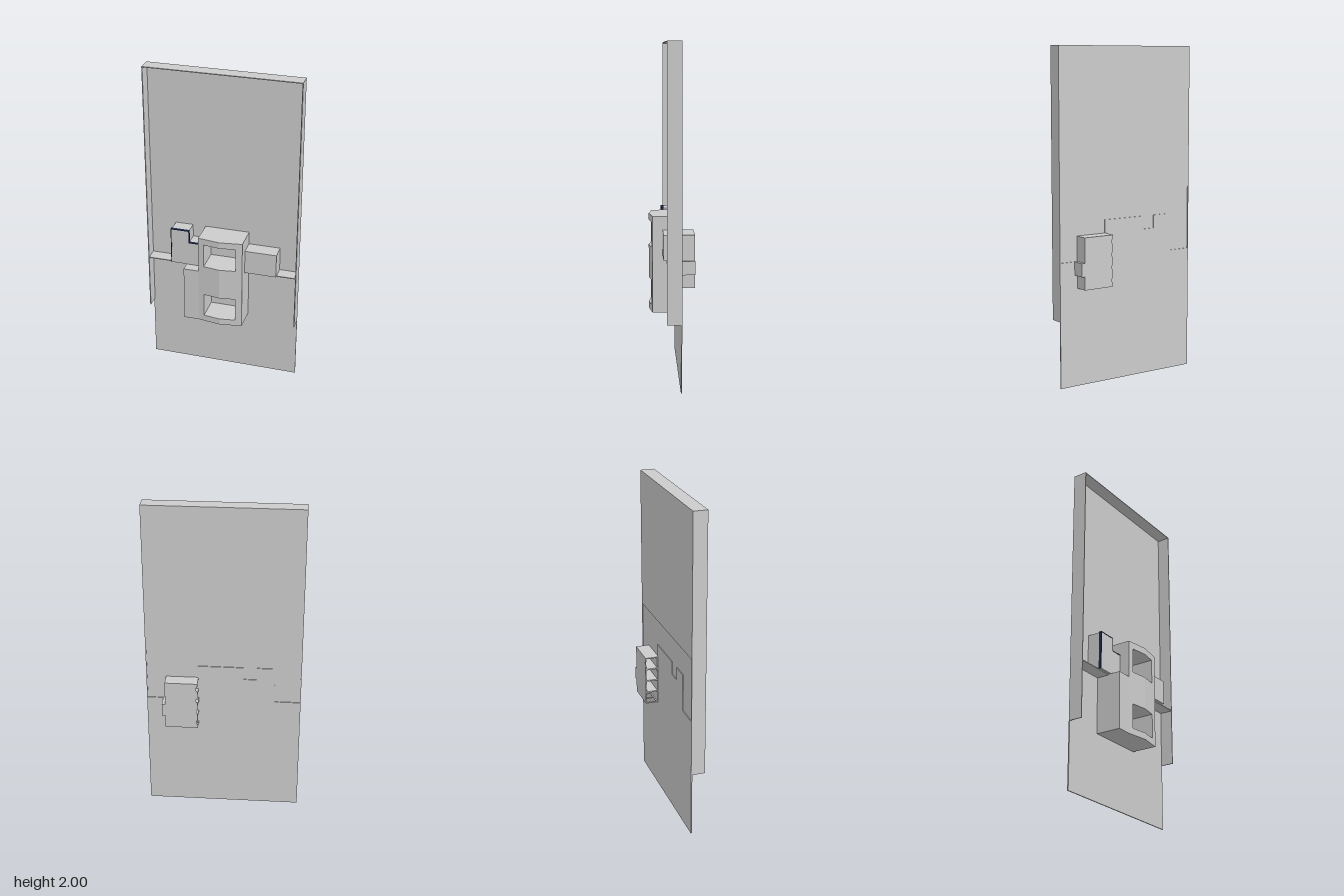
import * as THREE from 'three';

const grey = new THREE.MeshStandardMaterial({ color: 0xcccccc, flatShading: true, side: THREE.DoubleSide });
const navy = new THREE.MeshStandardMaterial({ color: 0x1c2a4a, flatShading: true, side: THREE.DoubleSide });

const polygon = (pts) => new THREE.Shape(pts.map(([x, y]) => new THREE.Vector2(x, y)));
const rectHole = (x0, x1, y0, y1) =>
  new THREE.Path([[x0, y0], [x0, y1], [x1, y1], [x1, y0]].map(([x, y]) => new THREE.Vector2(x, y)));

export function createModel() {
  const model = new THREE.Group();

  const add = (name, geometry, parent = model, material = grey) => {
    const mesh = new THREE.Mesh(geometry, material);
    mesh.name = name;
    parent.add(mesh);
    return mesh;
  };
  // Box given by its limits on each axis
  const box = (name, x0, x1, y0, y1, z0, z1, parent, material) =>
    add(name, new THREE.BoxGeometry(x1 - x0, y1 - y0, z1 - z0)
      .translate((x0 + x1) / 2, (y0 + y1) / 2, (z0 + z1) / 2), parent, material);
  // Upright sheet in the xy plane from z0 to z1
  const sheet = (name, shape, z0, z1, parent, material) =>
    add(name, new THREE.ExtrudeGeometry(shape, { depth: z1 - z0, bevelEnabled: false, curveSegments: 12 })
      .translate(0, 0, z0), parent, material);
  // Plan outline (x, z) raised from y0 to y1
  const raised = (name, plan, y0, y1, parent) =>
    add(name, new THREE.ExtrudeGeometry(polygon(plan.map(([x, z]) => [x, -z])), { depth: y1 - y0, bevelEnabled: false })
      .rotateX(-Math.PI / 2).translate(0, y0, 0), parent);

  const W = 0.47, BACK = -0.053, FRONT = 0.033;

  // Shallow tray: upper back panel, inset lower sheet, sides, top and shelf
  box('upperBackPanel', -W, W, 1.14, 2, BACK, -0.046);
  const wireHole = new THREE.Path();
  wireHole.absellipse(0.3, 0.72, 0.011, 0.015, 0, Math.PI * 2, true);
  const inset = polygon([[-W, 0], [W, 0], [W, 1.14], [-W, 1.14]]);
  inset.holes.push(wireHole);
  sheet('insetPanel', inset, -0.048, -0.046);
  for (const s of [-1, 1]) {
    const outer = s * W, inner = s * (W - 0.005);
    box('sideWall', Math.min(outer, inner), Math.max(outer, inner), 0.4, 2, BACK, FRONT);
  }
  box('topWall', -W, W, 1.995, 2, BACK, FRONT);
  box('shelf', -W, W, 0.745, 0.75, -0.048, FRONT);

  // Rear sheet cut to the stepped outline of the building
  const outline = polygon([
    [-W, 0], [W, 0], [W, 0.75], [0.35, 0.75], [0.35, 0.9], [0.155, 0.9], [0.155, 0.98],
    [-0.12, 0.98], [-0.12, 0.9], [-0.2, 0.9], [-0.2, 0.98], [-0.31, 0.98], [-0.31, 0.75], [-W, 0.75],
  ]);
  outline.holes.push(wireHole);
  sheet('steppedBackPanel', outline, BACK, -0.048);

  // Tower with a bowed front, stacked in full and recessed storeys
  const tower = new THREE.Group();
  tower.name = 'tower';
  model.add(tower);
  const bow = (x) => 0.11 + 0.02 * (1 - Math.abs(x - 0.0175) / 0.1375);
  const full = [[-0.12, -0.047], [-0.12, 0.11], [0.0175, 0.13], [0.155, 0.11], [0.155, -0.047]];
  const open = [
    [-0.12, -0.047], [-0.12, 0.11], [-0.085, bow(-0.085)], [-0.085, -0.04],
    [0.115, -0.04], [0.115, bow(0.115)], [0.155, 0.11], [0.155, -0.047],
  ];
  const levels = [0.4, 0.44, 0.59, 0.79, 0.94, 0.98];
  for (let i = 0; i < 5; i++) {
    raised(i % 2 ? 'windowStorey' : 'solidStorey', i % 2 ? open : full, levels[i], levels[i + 1], tower);
  }
  for (const x of [-0.03, 0.065]) box('windowPost', x - 0.01, x + 0.01, 0.49, 0.555, -0.04, -0.034, tower);
  box('towerWing', -0.215, -0.12, 0.4, 0.75, -0.047, 0.11, tower);

  // Low blocks standing on the shelf either side of the tower
  box('rightBlock', 0.155, 0.35, 0.75, 0.9, -0.047, 0.05);
  sheet('leftBlock', polygon([
    [-0.31, 0.75], [-0.12, 0.75], [-0.12, 0.9], [-0.2, 0.9], [-0.2, 0.98], [-0.31, 0.98],
  ]), -0.047, 0.048);
  sheet('leftBlockTrim', polygon([
    [-0.314, 0.75], [-0.309, 0.75], [-0.309, 0.979], [-0.201, 0.979], [-0.201, 0.899], [-0.12, 0.899],
    [-0.12, 0.903], [-0.197, 0.903], [-0.197, 0.983], [-0.314, 0.983],
  ]), 0.033, 0.05, model, navy);

  // Rear battery case, open in cells on one side and underneath
  const battery = new THREE.Group();
  battery.name = 'batteryCase';
  model.add(battery);
  const X0 = 0.152, X1 = 0.35, Y0 = 0.59, Y1 = 0.9, Z0 = -0.132;
  const rim = [[X0, Y0], [X1, Y0], [X1, Y1], [X0, Y1]];
  for (let i = 3; i >= 0; i--) {
    const y = Y0 + 0.039 + i * 0.0775;
    rim.push([X0, y + 0.018], [X0 + 0.008, y + 0.01], [X0 + 0.008, y - 0.01], [X0, y - 0.018]);
  }
  sheet('caseBack', polygon(rim), Z0, Z0 + 0.006, battery);
  box('caseTop', X0, X1, Y1 - 0.006, Y1, Z0, BACK, battery);
  box('caseSide', X1 - 0.006, X1, Y0, Y1, Z0, BACK, battery);
  box('caseBase', X0, X1, Y0, Y1, BACK - 0.004, BACK, battery);
  for (let i = 0; i < 4; i++) {
    const y = Y0 + i * 0.0775;
    if (i) box('cellDivider', X0, X1 - 0.006, y - 0.004, y + 0.004, Z0 + 0.006, BACK, battery);
  }
  const bottom = polygon([[X0, -BACK], [X1, -BACK], [X1, -Z0], [X0, -Z0]]);
  for (let i = 0; i < 3; i++) {
    const x = X0 + 0.008 + i * 0.063;
    bottom.holes.push(rectHole(x, x + 0.054, -BACK + 0.012, -Z0 - 0.012));
  }
  add('caseBottom', new THREE.ExtrudeGeometry(bottom, { depth: 0.006, bevelEnabled: false })
    .rotateX(-Math.PI / 2).translate(0, Y0, 0), battery);
  box('switchTab', X1, 0.37, 0.67, 0.75, Z0, BACK, battery);

  return model;
}
